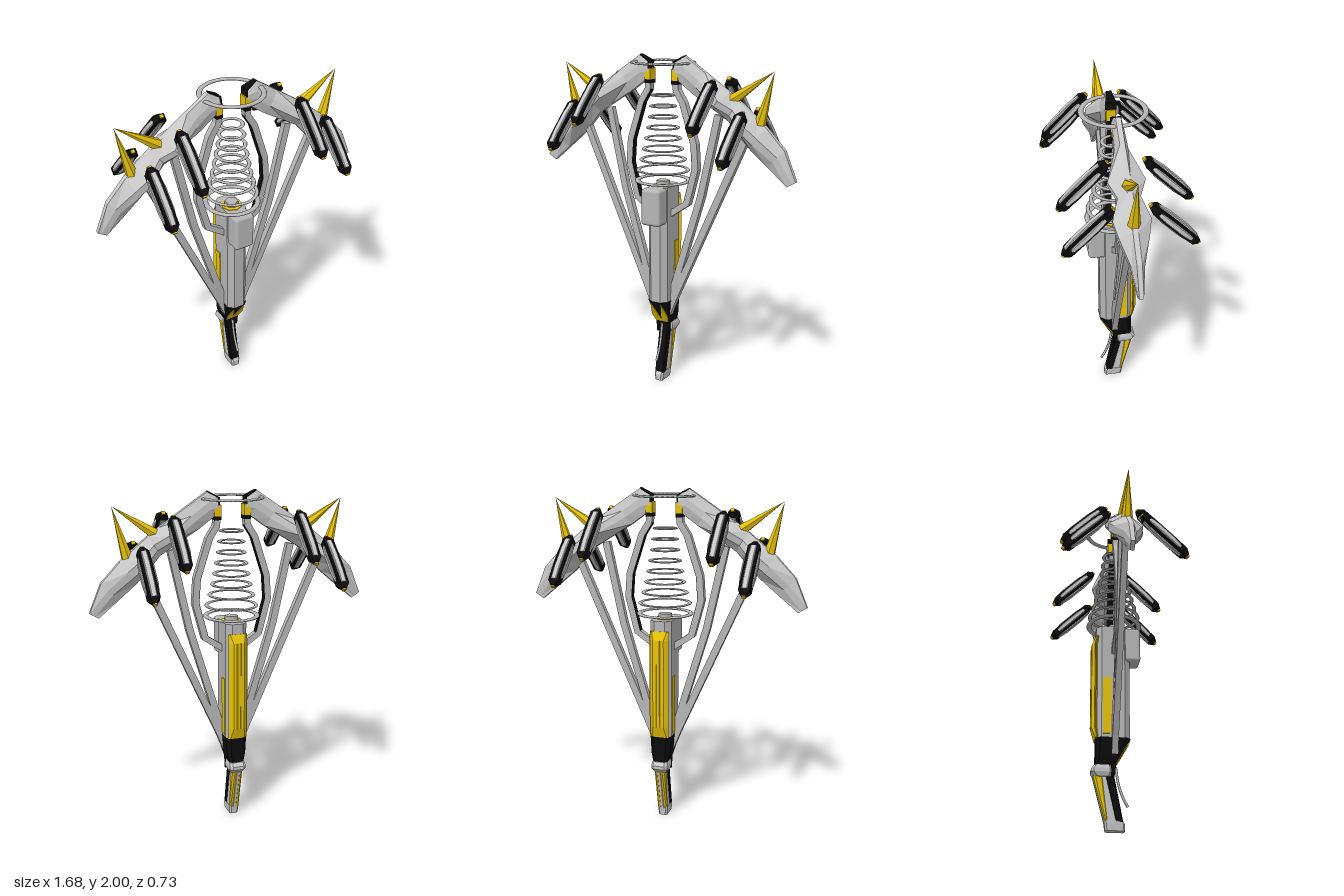
import * as THREE from 'three';
import { RoundedBoxGeometry } from 'three/addons/geometries/RoundedBoxGeometry.js';

const mat = (name, color) => {
  const m = new THREE.MeshStandardMaterial({ color });
  m.name = name;
  return m;
};

// Skins a row of equal-length rings of [x, y, z]; flat faces, caps on both ends, always facing outward.
function loft(rings) {
  const tris = [], n = rings[0].length;
  for (let i = 0; i < rings.length - 1; i++) {
    for (let j = 0; j < n; j++) {
      const k = (j + 1) % n, a = rings[i], b = rings[i + 1];
      tris.push([a[j], a[k], b[k]], [a[j], b[k], b[j]]);
    }
  }
  const first = rings[0], last = rings[rings.length - 1];
  for (let j = 1; j < n - 1; j++) {
    tris.push([first[0], first[j + 1], first[j]], [last[0], last[j], last[j + 1]]);
  }
  // signed volume about the first corner decides the winding
  const v = (p) => new THREE.Vector3(...p).sub(new THREE.Vector3(...first[0]));
  const volume = tris.reduce((s, [a, b, c]) => s + v(a).dot(v(b).cross(v(c))), 0);
  if (volume < 0) tris.forEach((t) => t.reverse());
  const g = new THREE.BufferGeometry();
  g.setAttribute('position', new THREE.Float32BufferAttribute(tris.flat(2), 3));
  g.computeVertexNormals();
  return g;
}

// Upright chamfered block from rows of [y, zFront, zBack, halfWidth, chamfer].
const block = (rows) => loft(rows.map(([y, f, b, w, c = 0.005]) => [
  [w, y, f - c], [w - c, y, f], [c - w, y, f], [-w, y, f - c],
  [-w, y, b + c], [c - w, y, b], [w - c, y, b], [w, y, b + c],
]));

// Rectangular bar following points [x, y, halfDepth], mitred at the bends.
function bar(points, halfWidth) {
  const p = points.map(([x, y]) => new THREE.Vector2(x, y));
  return loft(p.map((q, i) => {
    const t = p[Math.min(i + 1, p.length - 1)].clone().sub(p[Math.max(i - 1, 0)]).normalize();
    const nx = -t.y * halfWidth, ny = t.x * halfWidth;
    return [[1, 1], [1, -1], [-1, -1], [-1, 1]].map(([a, b]) =>
      [q.x + nx * a, q.y + ny * a, points[i][2] * b]);
  }));
}

export function createModel() {
  const root = new THREE.Group();
  root.name = 'staff';
  const grey = mat('grey metal', 0xb6b6b6);
  const pale = mat('pale grey metal', 0xc8c8c8);
  const yellow = mat('yellow', 0xf0ca08);
  const black = mat('black', 0x0c0c0c);
  const add = (name, geometry, material, parent = root) => {
    const m = new THREE.Mesh(geometry, material);
    m.name = name;
    parent.add(m);
    return m;
  };

  // main column, back panel and front box
  add('column', block([[0.53, 0.09, -0.11, 0.065, 0.032], [1.24, 0.09, -0.11, 0.065, 0.032]]), grey);
  add('backPanel', block([
    [0.53, -0.094, -0.112, 0.058, 0.012], [0.6, -0.094, -0.135, 0.058, 0.025],
    [1.13, -0.094, -0.135, 0.058, 0.025], [1.18, -0.094, -0.112, 0.058, 0.012]]), yellow);
  add('backRidge', block([[0.6, -0.125, -0.139, 0.014], [1.13, -0.125, -0.139, 0.014]]), yellow);
  add('frontBox', new RoundedBoxGeometry(0.125, 0.22, 0.105, 3, 0.02), grey).position.set(0, 1.13, 0.103);
  for (const s of [1, -1]) {
    add('sideStripe', new THREE.BoxGeometry(0.008, 0.35, 0.048), yellow).position.set(s * 0.066, 0.725, -0.047);
  }
  add('topCollar', new THREE.CylinderGeometry(0.062, 0.062, 0.008, 8).toNonIndexed(), yellow).position.y = 1.24;
  add('topPlug', new THREE.CylinderGeometry(0.04, 0.04, 0.03, 6).toNonIndexed(), grey).position.y = 1.255;

  // tapered neck with pointed front marking
  add('neck', block([[0.37, 0.0, -0.11, 0.045, 0.015], [0.42, 0.03, -0.108, 0.058, 0.02],
    [0.53, 0.092, -0.108, 0.066, 0.025]]), black);
  const marking = new THREE.Shape([[-0.044, 0.38], [0.044, 0.38], [0.056, 0.43], [0.034, 0.52],
    [0.002, 0.4], [-0.002, 0.4], [-0.034, 0.52], [-0.056, 0.43]].map(([x, y]) => new THREE.Vector2(x, y)));
  const markGeo = new THREE.ExtrudeGeometry(marking, { depth: 0.006, bevelEnabled: false });
  const mp = markGeo.attributes.position;
  for (let i = 0; i < mp.count; i++) mp.setZ(i, mp.getZ(i) + 0.58 * (mp.getY(i) - 0.37));
  markGeo.computeVertexNormals();
  add('neckMarking', markGeo, yellow);
  add('neckRing', block([[0.305, -0.02, -0.11, 0.04, 0.012], [0.33, -0.012, -0.132, 0.05, 0.015],
    [0.35, -0.012, -0.132, 0.05, 0.015], [0.372, -0.02, -0.115, 0.045, 0.012]]), pale);
  add('neckFrontBlock', block([[0.305, 0.0, -0.02, 0.046], [0.38, 0.01, -0.02, 0.046]]), black);

  // slanted grip: black front, yellow back with a pale ridge
  add('gripCore', block([[0.03, 0.03, -0.048, 0.027, 0.008], [0.32, -0.025, -0.11, 0.027, 0.01]]), pale);
  add('gripFront', block([[0.05, 0.05, 0.008, 0.03], [0.32, -0.002, -0.052, 0.03]]), black);
  add('gripBack', block([[0.055, -0.036, -0.054, 0.03, 0.006], [0.31, -0.062, -0.12, 0.031, 0.012]]), yellow);
  add('gripRidge', block([[0.05, -0.04, -0.059, 0.01, 0.002], [0.31, -0.1, -0.125, 0.01, 0.002]]), pale);
  add('gripCap', block([[0, 0.06, -0.05, 0.026, 0.01], [0.04, 0.06, -0.055, 0.03, 0.01],
    [0.055, 0.05, -0.058, 0.03, 0.01]]), pale);
  const lever = new THREE.CatmullRomCurve3([[0.37, 0.012], [0.28, 0.025], [0.2, 0.05], [0.14, 0.08]]
    .map(([y, z]) => new THREE.Vector3(0, y, z)));
  add('lever', new THREE.TubeGeometry(lever, 12, 0.008, 6), grey);

  // stack of coil rings and the halo above them
  const ring = (name, y, r, tube) => {
    const g = new THREE.TorusGeometry(r, tube, 8, 40);
    g.scale(1, 1, 0.45).rotateX(Math.PI / 2);
    add(name, g, grey).position.y = y;
  };
  [0.152, 0.147, 0.128, 0.112, 0.1, 0.088, 0.077, 0.07, 0.062]
    .forEach((r, i) => ring('coilRing', 1.27 + i * 0.0625, r, i ? 0.012 : 0.016));
  ring('halo', 1.957, 0.174, 0.016);

  // wing sections: outer x, y, inner x, y, half thickness
  const wing = [
    [0.085, 1.962, 0.085, 1.87, 0.028], [0.15, 1.996, 0.13, 1.84, 0.03],
    [0.28, 1.91, 0.2, 1.79, 0.036], [0.43, 1.81, 0.35, 1.7, 0.1],
    [0.5, 1.76, 0.43, 1.65, 0.06], [0.6, 1.68, 0.5, 1.57, 0.1],
    [0.66, 1.63, 0.57, 1.5, 0.08], [0.77, 1.515, 0.68, 1.41, 0.035],
    [0.84, 1.35, 0.79, 1.32, 0.012]];

  for (const s of [1, -1]) {
    const side = new THREE.Group();
    side.name = s > 0 ? 'leftSide' : 'rightSide';
    root.add(side);
    const sideBar = (name, pts, halfWidth, depth, material) =>
      add(name, bar(pts.map(([x, y, d = depth]) => [s * x, y, d]), halfWidth), material, side);

    add('wing', loft(wing.map(([ox, oy, ix, iy, t]) => {
      const e = Math.min(0.014, t);
      return [[0, e], [0.36, t], [0.64, t], [1, e], [1, -e], [0.64, -t], [0.36, -t], [0, -e]]
        .map(([k, z]) => [s * (ox + (ix - ox) * k), oy + (iy - oy) * k, z]);
    })), pale, side);
    sideBar('wingTip', [[0.082, 1.92, 0.03], [0.082, 1.962, 0.03], [0.148, 1.997, 0.014]], 0.004, 0, black);
    add('wingEnd', new THREE.BoxGeometry(0.04, 0.064, 0.056), yellow, side).position.set(s * 0.09, 1.89, 0);
    add('wingEndBand', new THREE.BoxGeometry(0.04, 0.022, 0.056), black, side).position.set(s * 0.09, 1.847, 0);

    // cage loop around the coil with a dark inner face
    const loop = [[0.09, 1.84], [0.095, 1.8], [0.14, 1.73], [0.215, 1.5], [0.225, 1.36], [0.17, 1.15], [0.05, 1.07]];
    sideBar('cageLoop', loop, 0.019, 0.02, grey);
    sideBar('cageInnerStrip', loop.slice(1, 6).map(([x, y]) => [x - 0.019, y]), 0.003, 0.019, black);

    // long struts from the neck to the wing
    sideBar('outerStrut', [[0.04, 0.44], [0.08, 0.54], [0.53, 1.55]], 0.021, 0.018, grey);
    sideBar('innerStrut', [[0.04, 0.46], [0.06, 0.54], [0.26, 1.2], [0.365, 1.68]], 0.021, 0.018, grey);

    // pair of spikes meeting at one tip
    const tip = new THREE.Vector3(s * 0.693, 1.935, 0);
    for (const [x, y] of [[0.44, 1.765], [0.61, 1.63]]) {
      const dir = tip.clone().sub(new THREE.Vector3(s * x, y, 0));
      const cone = new THREE.ConeGeometry(0.036, dir.length(), 6).toNonIndexed();
      cone.computeVertexNormals();
      const spike = add('spike', cone, yellow, side);
      spike.position.set(s * x, y, 0).addScaledVector(dir, 0.5);
      spike.quaternion.setFromUnitVectors(new THREE.Vector3(0, 1, 0), dir.normalize());
    }

    // slanted pods in front of and behind the wing
    for (const [x, y] of [[0.375, 1.745], [0.555, 1.585]]) {
      for (const f of [1, -1]) {
        const pod = new THREE.Group();
        pod.name = 'pod';
        pod.position.set(s * x, y, f * 0.225);
        pod.rotation.x = -f * Math.PI / 4;
        side.add(pod);
        // rows of [length, half width, half thickness], mirrored end to end
        const stack = (rows) => block([...rows, ...rows.map(([l, w, t]) => [-l, w, t]).reverse()]
          .map(([l, w, t]) => [l, t, -t, w, 0.004]));
        add('podShell', stack([[-0.18, 0.014, 0.014], [-0.15, 0.034, 0.024], [-0.06, 0.034, 0.026]]), black, pod);
        add('podCore', stack([[-0.135, 0.03, 0.01], [-0.11, 0.038, 0.013], [-0.06, 0.044, 0.015]]), pale, pod);
        add('podStripe', stack([[-0.145, 0.016, 0.028], [-0.07, 0.017, 0.037]]), pale, pod);
        for (const e of [1, -1]) {
          add('podEnd', new THREE.BoxGeometry(0.022, 0.012, 0.02), yellow, pod).position.y = e * 0.182;
        }
      }
    }
  }
  return root;
}
